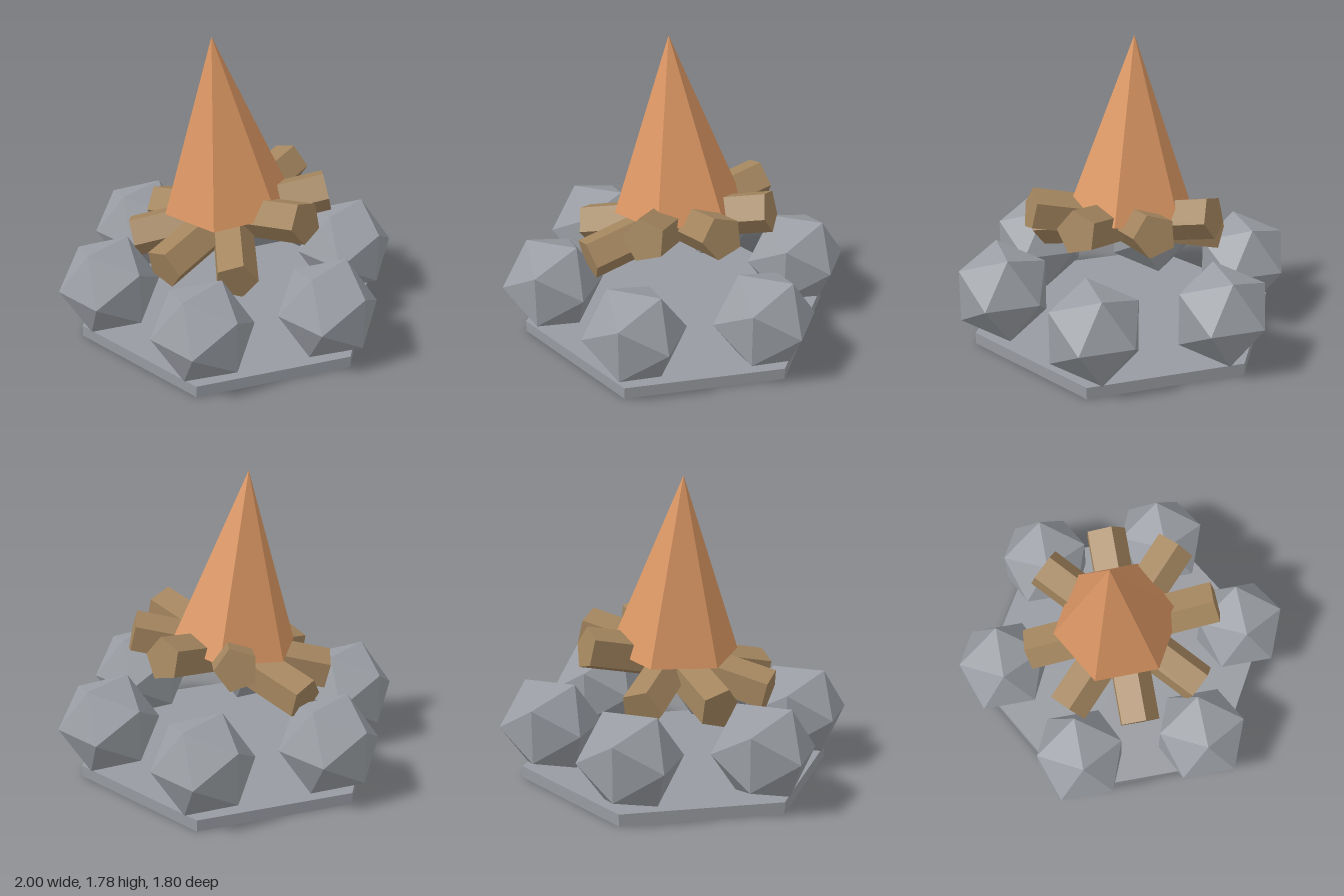
import * as THREE from 'three';

const flat = (name, color) => {
  const m = new THREE.MeshStandardMaterial({ color, flatShading: true });
  m.name = name;
  return m;
};

export function createModel() {
  const group = new THREE.Group();
  group.name = 'campfire';

  const stoneGrey = flat('stone grey', 0x9a9ea4);
  const slabGrey = flat('slab grey', 0x989ba1);
  const woodBrown = flat('wood brown', 0xa4865f);
  const flameOrange = flat('flame orange', 0xdb9663);

  const add = (name, geometry, material) => {
    const mesh = new THREE.Mesh(geometry, material);
    mesh.name = name;
    group.add(mesh);
    return mesh;
  };

  // Hexagonal ground slab, corners on the x axis
  const slab = new THREE.CylinderGeometry(0.92, 0.92, 0.07, 6).rotateY(Math.PI / 2);
  add('groundSlab', slab, slabGrey).position.y = 0.035;

  // Ring of six stones, all turned the same way
  const stone = new THREE.IcosahedronGeometry(0.3).rotateY(Math.PI / 2);
  for (let i = 0; i < 6; i++) {
    const a = (i * Math.PI) / 3;
    add('stone' + (i + 1), stone, stoneGrey)
      .position.set(0.745 * Math.cos(a), 0.323, 0.745 * Math.sin(a));
  }

  // Four crossed five-sided logs, each raised at one end
  const log = new THREE.CylinderGeometry(0.127, 0.127, 1.168, 5)
    .rotateZ(0.236 - Math.PI / 2);
  for (let i = 0; i < 4; i++) {
    const mesh = add('log' + (i + 1), log, woodBrown);
    mesh.position.y = 0.678;
    mesh.rotation.y = (i * Math.PI) / 4;
  }

  // Six-sided flame, leaning slightly
  const base = new THREE.Vector3(-0.026, 0.75, -0.006);
  const lean = new THREE.Vector3(-0.075, 1.778, 0.07).sub(base);
  const height = lean.length();
  const cone = new THREE.ConeGeometry(0.382, height, 6)
    .rotateY(Math.PI / 2)
    .translate(0, height / 2, 0);
  const flame = add('flame', cone, flameOrange);
  flame.position.copy(base);
  flame.quaternion.setFromUnitVectors(new THREE.Vector3(0, 1, 0), lean.normalize());

  return group;
}
